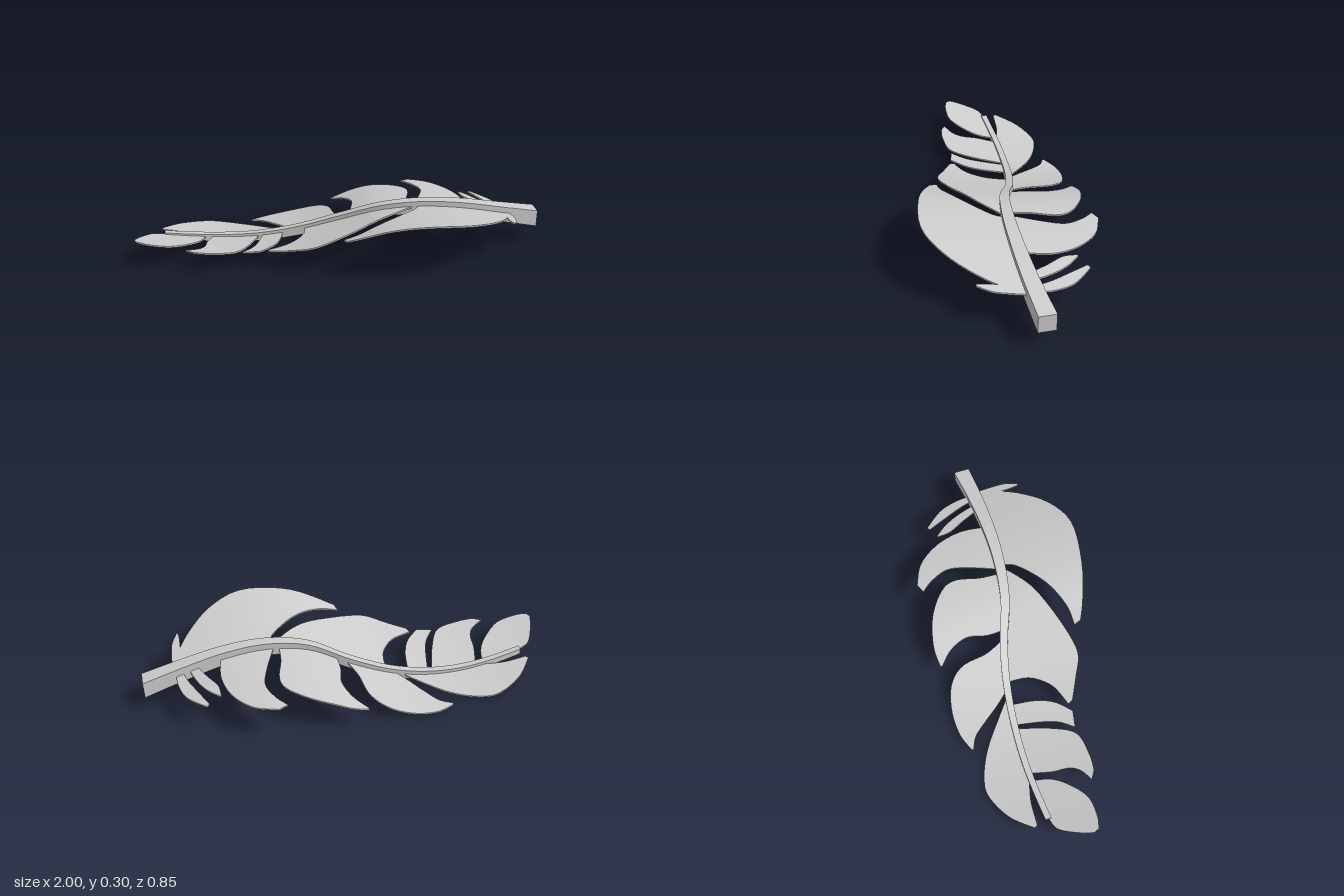
import * as THREE from 'three';

// Shaft centre line (x, y, z) from the tip side to the quill end
const spine = new THREE.CatmullRomCurve3([
  [-1.05, 0.115, -0.11], [-0.87, 0.07, -0.137], [-0.6, 0.03, -0.157], [-0.4, 0.028, -0.152],
  [-0.2, 0.06, -0.13], [0, 0.125, -0.085], [0.2, 0.2, -0.015], [0.4, 0.222, 0.015],
  [0.6, 0.205, 0.02], [0.8, 0.165, 0.01], [1, 0.122, -0.01],
].map(p => new THREE.Vector3(...p)));

// Point of the centre line at a given x
function spineAt(x) {
  let lo = 0, hi = 1;
  for (let i = 0; i < 22; i++) {
    const mid = (lo + hi) / 2;
    if (spine.getPoint(mid).x < x) lo = mid; else hi = mid;
  }
  return spine.getPoint(hi);
}

// Barb outlines seen from above (x, z): edge nearer the quill end, then edge nearer the tip,
// both running from the shaft outwards
const leftBarbs = [
  [[[0.855, 0.02], [0.85, 0.1], [0.84, 0.18], [0.81, 0.245]],
    [[0.83, 0.02], [0.81, 0.1], [0.8, 0.18], [0.8, 0.24]]],
  [[[0.83, 0.02], [0.82, 0.11], [0.75, 0.23], [0.63, 0.35], [0.47, 0.42], [0.25, 0.4], [0.08, 0.35], [-0.01, 0.31]],
    [[0.38, 0.02], [0.35, 0.09], [0.22, 0.2], [0.08, 0.265], [-0.02, 0.275]]],
  [[[0.37, 0.02], [0.24, 0.12], [0.1, 0.185], [-0.05, 0.235], [-0.16, 0.25], [-0.26, 0.205], [-0.36, 0.155]],
    [[-0.17, -0.12], [-0.18, -0.03], [-0.21, 0.03], [-0.27, 0.09], [-0.37, 0.13]]],
  [[[-0.28, -0.14], [-0.3, -0.02], [-0.34, 0.07], [-0.41, 0.14]],
    [[-0.38, -0.15], [-0.41, -0.02], [-0.44, 0.06], [-0.49, 0.125]]],
  [[[-0.4, -0.15], [-0.45, 0], [-0.52, 0.12], [-0.64, 0.145], [-0.72, 0.14]],
    [[-0.63, -0.155], [-0.66, -0.05], [-0.67, 0.03], [-0.7, 0.08], [-0.76, 0.115]]],
  [[[-0.67, -0.15], [-0.69, -0.07], [-0.74, 0], [-0.83, 0.07], [-0.93, 0.08], [-0.99, 0.065]],
    [[-0.87, -0.135], [-0.93, -0.11], [-0.98, -0.02], [-1, 0.04]]],
];
const rightBarbs = [
  [[[0.84, 0], [0.84, -0.08], [0.81, -0.18], [0.73, -0.275]],
    [[0.81, 0], [0.79, -0.08], [0.75, -0.18], [0.715, -0.265]]],
  [[[0.78, 0], [0.75, -0.1], [0.71, -0.18], [0.66, -0.24]],
    [[0.74, 0], [0.7, -0.09], [0.66, -0.17], [0.655, -0.235]]],
  [[[0.62, 0.01], [0.64, -0.12], [0.61, -0.25], [0.53, -0.36], [0.42, -0.41]],
    [[0.36, 0.01], [0.42, -0.13], [0.45, -0.24], [0.42, -0.33], [0.375, -0.39]]],
  [[[0.34, 0], [0.35, -0.1], [0.38, -0.22], [0.35, -0.3], [0.24, -0.38], [0.1, -0.42], [0, -0.415]],
    [[0.07, -0.06], [0.07, -0.15], [0.09, -0.25], [0.06, -0.34], [0, -0.405]]],
  [[[0.03, -0.08], [-0.01, -0.18], [-0.03, -0.31], [-0.1, -0.39], [-0.22, -0.425], [-0.34, -0.42], [-0.43, -0.385]],
    [[-0.2, -0.13], [-0.26, -0.2], [-0.31, -0.27], [-0.37, -0.345], [-0.43, -0.375]]],
  [[[-0.22, -0.13], [-0.33, -0.22], [-0.45, -0.31], [-0.57, -0.365], [-0.67, -0.375], [-0.8, -0.31], [-0.89, -0.21]],
    [[-0.6, -0.155], [-0.68, -0.17], [-0.77, -0.19], [-0.88, -0.195]]],
];

// Move every vertex of a geometry by a rule
function reshape(geometry, rule) {
  const pos = geometry.attributes.position;
  const v = new THREE.Vector3();
  for (let i = 0; i < pos.count; i++) {
    rule(v.fromBufferAttribute(pos, i));
    pos.setXYZ(i, v.x, v.y, v.z);
  }
  geometry.computeVertexNormals();
  return geometry;
}

// Thin blade stretched between two edge curves and bent along with the shaft
function barbGeometry(edgeA, edgeB) {
  const [a, b] = [edgeA, edgeB].map(e => new THREE.SplineCurve(e.map(p => new THREE.Vector2(...p))));
  return reshape(new THREE.BoxGeometry(1, 1, 1, 28, 1, 8), v => {
    const p = a.getPoint(v.x + 0.5).lerp(b.getPoint(v.x + 0.5), v.z + 0.5);
    const s = spineAt(p.x);
    const d = p.y - s.z;
    v.set(p.x, s.y + d * (d > 0 ? 0.18 : 0.09) + v.y * 0.008, p.y);
  });
}

export function createModel() {
  const feather = new THREE.Group();
  feather.name = 'feather';
  const material = new THREE.MeshStandardMaterial({ color: 0xcccccc });
  const add = (name, geometry) => {
    const mesh = new THREE.Mesh(geometry, material);
    mesh.name = name;
    feather.add(mesh);
  };

  // Square shaft, thick at the quill end and tapering to the tip
  add('shaft', reshape(new THREE.BoxGeometry(1.87, 1, 1, 60, 1, 1), v => {
    const x = v.x + 0.065;
    const t = (x + 0.87) / 1.87;
    const s = spineAt(x);
    v.set(x, s.y + v.y * (0.03 + 0.055 * t), s.z + v.z * (0.03 + 0.05 * t * t));
  }));

  // Barbs on both sides; the edge order is swapped so tops face up
  leftBarbs.forEach(([a, b], i) => add(`frontBarb${i + 1}`, barbGeometry(a, b)));
  rightBarbs.forEach(([a, b], i) => add(`backBarb${i + 1}`, barbGeometry(b, a)));
  return feather;
}
